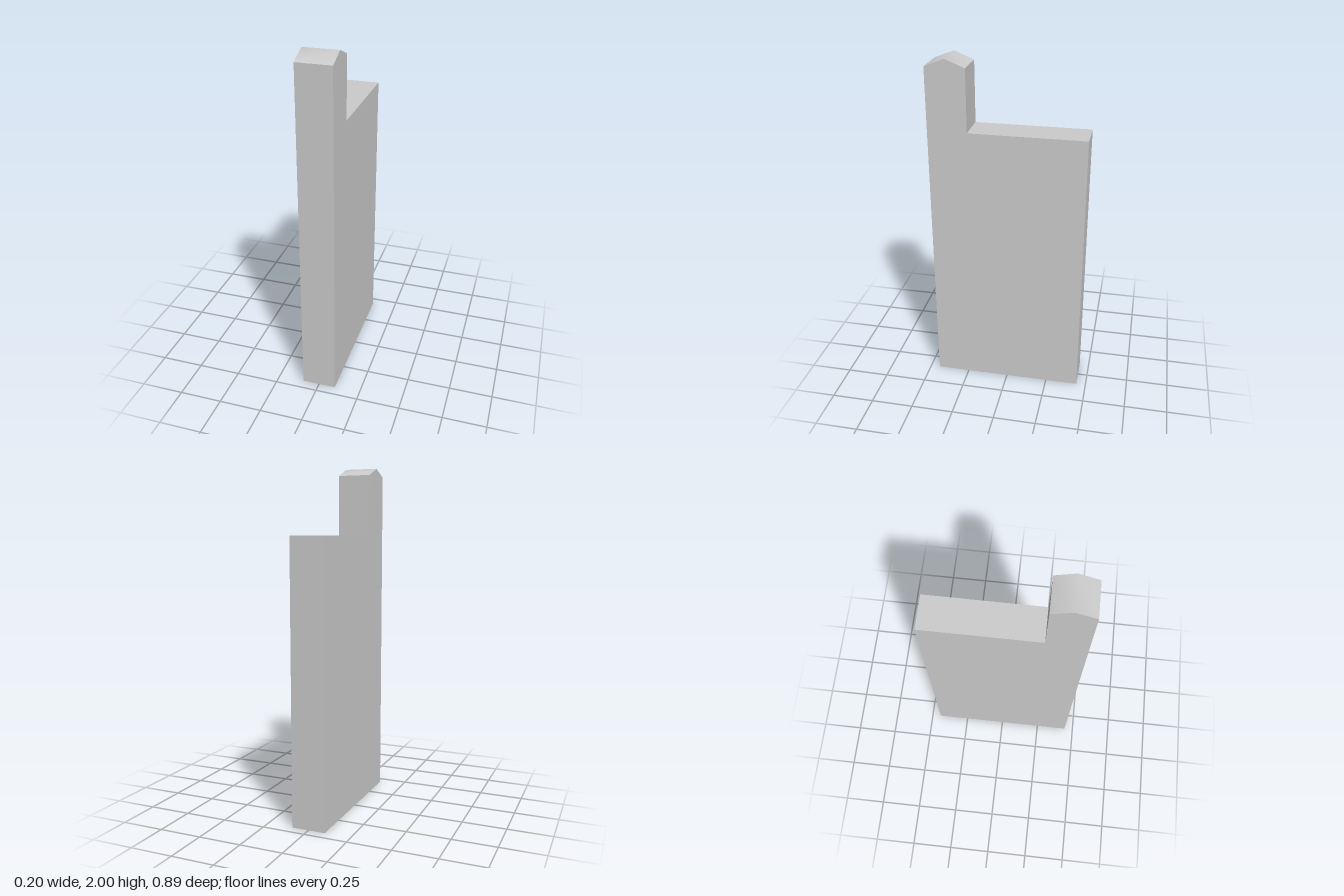
import * as THREE from 'three';
import { toCreasedNormals } from 'three/addons/utils/BufferGeometryUtils.js';

const WIDTH = 0.197;    // thickness along x
const HALF_DEPTH = 0.443;
const POST_BACK = 0.218; // z where the front post meets the panel top
const PANEL_TOP = 1.602;
const SHOULDER = 1.955; // where the post's peaked cap starts
const PEAK = 2;

export function createModel() {
  const group = new THREE.Group();
  group.name = 'panelWithPost';

  // Side outline (z, y): tall panel with a peaked post at its front edge
  const outline = new THREE.Shape([
    [-HALF_DEPTH, 0],
    [HALF_DEPTH, 0],
    [HALF_DEPTH, SHOULDER],
    [(HALF_DEPTH + POST_BACK) / 2, PEAK],
    [POST_BACK, SHOULDER],
    [POST_BACK, PANEL_TOP],
    [-HALF_DEPTH, PANEL_TOP],
  ].map(([z, y]) => new THREE.Vector2(z, y)));

  const solid = new THREE.ExtrudeGeometry(outline, { depth: WIDTH, bevelEnabled: false });
  solid.translate(0, 0, -WIDTH / 2);
  solid.rotateY(-Math.PI / 2);

  // Only the shallow ridge of the cap is shaded smooth; all other edges stay sharp
  const panel = new THREE.Mesh(
    toCreasedNormals(solid, 1),
    new THREE.MeshStandardMaterial({ color: 0xcccccc }),
  );
  panel.name = 'panelAndPost';
  group.add(panel);

  return group;
}
